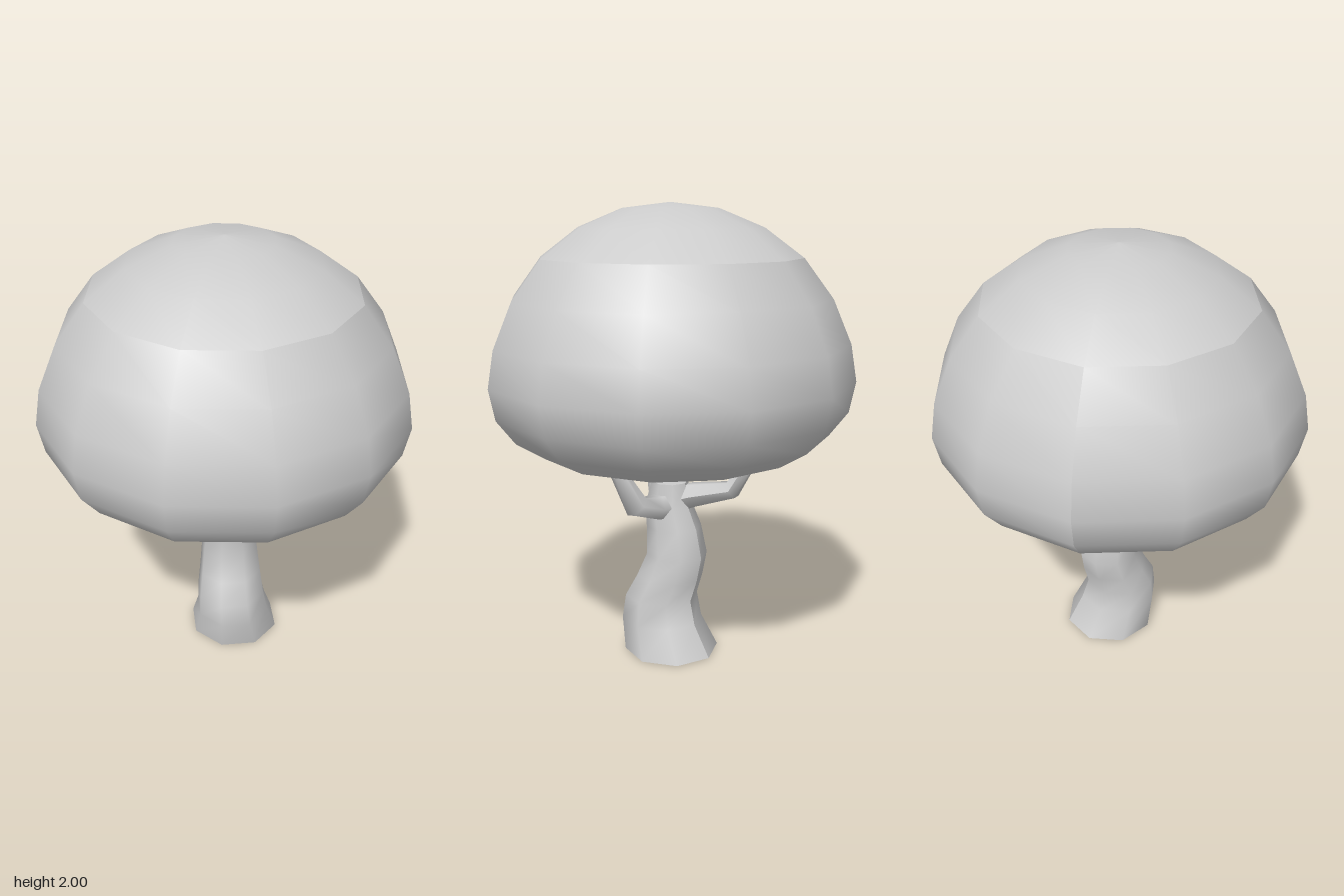
import * as THREE from 'three';

const material = new THREE.MeshStandardMaterial({ color: 0xcccccc });

function addMesh(parent, geometry, name) {
  const mesh = new THREE.Mesh(geometry, material);
  mesh.name = name;
  parent.add(mesh);
}

// Skins a stack of closed rings (each a list of Vector3, last point repeating the first) and caps both ends.
function loft(rings) {
  const pos = [], idx = [];
  const n = rings[0].length;
  const push = (p) => pos.push(p.x, p.y, p.z) / 3 - 1;
  rings.forEach((ring) => ring.forEach(push));
  for (let j = 0; j < rings.length - 1; j++) {
    for (let i = 0; i < n - 1; i++) {
      const a = j * n + i, b = a + 1, c = a + n, d = c + 1;
      idx.push(a, b, d, a, d, c);
    }
  }
  [rings[0], rings[rings.length - 1]].forEach((ring, end) => {
    const centre = new THREE.Vector3();
    ring.slice(1).forEach((p) => centre.addScaledVector(p, 1 / (n - 1)));
    const c = push(centre);
    const first = ring.map(push)[0];
    for (let i = 0; i < n - 1; i++) {
      if (end) idx.push(c, first + i, first + i + 1);
      else idx.push(c, first + i + 1, first + i);
    }
  });
  const g = new THREE.BufferGeometry();
  g.setAttribute('position', new THREE.Float32BufferAttribute(pos, 3));
  g.setIndex(idx);
  g.computeVertexNormals();
  return g;
}

function makeRing(centre, u, v, sides) {
  return Array.from({ length: sides + 1 }, (_, i) => {
    const a = ((i % sides) / sides) * Math.PI * 2;
    return centre.clone().addScaledVector(u, Math.cos(a)).addScaledVector(v, Math.sin(a));
  });
}

// Tapered limb: stations are [x, y, z, radius]
function limb(stations, sides) {
  const pts = stations.map((s) => new THREE.Vector3(s[0], s[1], s[2]));
  const rings = pts.map((p, k) => {
    const w = pts[Math.min(k + 1, pts.length - 1)].clone().sub(pts[Math.max(k - 1, 0)]).normalize();
    // a sideways axis keeps the rings aligned along the limb
    const side = new THREE.Vector3(-pts[1].z + pts[0].z, 0, pts[1].x - pts[0].x).normalize();
    const v = w.clone().cross(side).normalize();
    const u = v.clone().cross(w);
    return makeRing(p, u.multiplyScalar(stations[k][3]), v.multiplyScalar(stations[k][3]), sides);
  });
  return loft(rings);
}

export function createModel() {
  const model = new THREE.Group();
  model.name = 'tree';

  // Canopy: one dome profile, split by creases into underside, side and crown
  const canopy = new THREE.Group();
  canopy.name = 'canopy';
  model.add(canopy);
  const profile = [
    [0, 0.845], [0.2, 0.855], [0.4, 0.883], [0.57, 0.932], [0.697, 1.01], [0.778, 1.115], [0.805, 1.25],
    [0.778, 1.41], [0.697, 1.6], [0.57, 1.77], [0.402, 1.895], [0.208, 1.975], [0, 2],
  ].map(([r, y]) => new THREE.Vector2(r, y));
  const start = (Math.PI * 4) / 3;
  [['canopyUnderside', 0, 3], ['canopySide', 3, 9], ['canopyCrown', 9, 12]].forEach(([name, from, to]) => {
    const g = new THREE.LatheGeometry(profile.slice(from, to + 1), 12, start);
    if (name === 'canopySide') g.computeVertexNormals();
    addMesh(canopy, g, name);
  });

  // Trunk: bent and tapering, stations are [y, minX, maxX, minZ, maxZ]
  const trunk = [
    [0, -0.175, 0.25, -0.25, 0.175],
    [0.14, -0.13, 0.22, -0.175, 0.2],
    [0.245, -0.125, 0.2, -0.145, 0.187],
    [0.345, -0.125, 0.172, -0.17, 0.135],
    [0.45, -0.125, 0.148, -0.185, 0.09],
    [0.58, -0.105, 0.138, -0.16, 0.09],
    [0.68, -0.078, 0.128, -0.122, 0.098],
    [0.79, -0.05, 0.11, -0.105, 0.06],
  ].map(([y, x0, x1, z0, z1]) => makeRing(
    new THREE.Vector3((x0 + x1) / 2, y, (z0 + z1) / 2),
    new THREE.Vector3(0, 0, -(z1 - z0) / 2),
    new THREE.Vector3(-(x1 - x0) / 2, 0, 0),
    8,
  ));
  addMesh(model, loft(trunk), 'trunk');

  // Branches: out from the trunk top, then bent up into the canopy
  const branches = {
    frontBranch: [[-0.01, 0.69, 0.04, 0.068], [-0.06, 0.71, 0.1, 0.06], [-0.2, 0.765, 0.245, 0.043], [-0.226, 0.885, 0.262, 0.033]],
    leftBranch: [[0.06, 0.685, -0.03, 0.06], [0.13, 0.69, -0.025, 0.058], [0.24, 0.715, -0.005, 0.055], [0.302, 0.89, 0.062, 0.032]],
    backBranch: [[0.0, 0.71, -0.06, 0.065], [-0.01, 0.735, -0.13, 0.058], [-0.035, 0.785, -0.315, 0.042], [-0.047, 0.895, -0.378, 0.033]],
  };
  for (const [name, stations] of Object.entries(branches)) addMesh(model, limb(stations, 6), name);

  return model;
}
